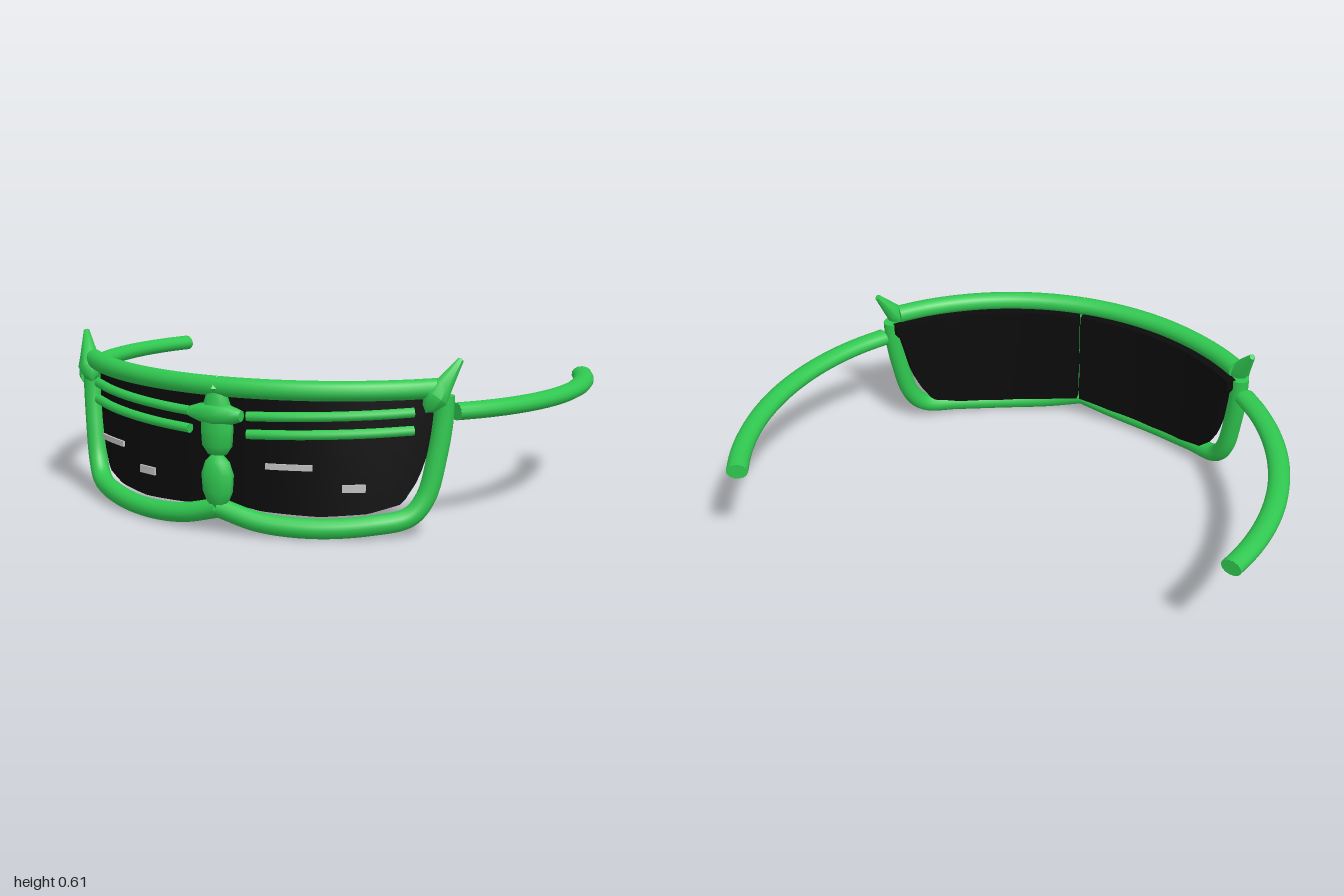
import * as THREE from 'three';
import { mergeGeometries, toCreasedNormals } from 'three/addons/utils/BufferGeometryUtils.js';

const R = 0.96, CZ = -0.32; // the whole frame wraps around one circle

// point on the wrap circle (front half) at the given x, height and radius
const wrap = (x, y, r = R) => new THREE.Vector3(x, y, CZ + Math.sqrt(r * r - x * x));

// tube along a curve, closed with flat ends
function cappedTube(points, radius, segments = 40, sides = 14) {
  const curve = new THREE.CatmullRomCurve3(points);
  const parts = [new THREE.TubeGeometry(curve, segments, radius, sides)];
  for (const t of [0, 1]) {
    const dir = curve.getTangentAt(t).multiplyScalar(t ? 1 : -1);
    const cap = new THREE.CircleGeometry(radius, sides);
    cap.applyQuaternion(new THREE.Quaternion().setFromUnitVectors(new THREE.Vector3(0, 0, 1), dir));
    const p = curve.getPointAt(t);
    parts.push(cap.translate(p.x, p.y, p.z));
  }
  return mergeGeometries(parts);
}

// box bent around the wrap circle; bottom(x) and top give its outline
function bentPlate(side, x0, x1, bottom, top, r0, r1, columns, rows) {
  const geo = new THREE.BoxGeometry(1, 1, 1, columns, rows, 1);
  const p = geo.attributes.position;
  for (let i = 0; i < p.count; i++) {
    const a0 = Math.asin(x0 / R), a1 = Math.asin(x1 / R);
    const a = a0 + (a1 - a0) * (0.5 + side * p.getX(i));
    const b = bottom(R * Math.sin(a));
    const y = b + (top - b) * (p.getY(i) + 0.5);
    const r = r0 + (r1 - r0) * (p.getZ(i) + 0.5);
    p.setXYZ(i, side * r * Math.sin(a), y, CZ + r * Math.cos(a));
  }
  geo.computeVertexNormals();
  return geo;
}

// lathe from [radius, height] pairs
const turned = (profile, sides) => toCreasedNormals(
  new THREE.LatheGeometry(profile.map(([r, y]) => new THREE.Vector2(r, y)), sides), 0.9);

// lower edge of a lens, as [x, y]
const lensEdge = [[0, 0.11], [0.15, 0.085], [0.35, 0.075], [0.5, 0.085], [0.6, 0.115],
  [0.645, 0.2], [0.672, 0.3], [0.69, 0.42], [0.72, 0.47]];
function lensBottom(x) {
  let i = 1;
  while (i < lensEdge.length - 1 && lensEdge[i][0] < x) i++;
  const [xa, ya] = lensEdge[i - 1], [xb, yb] = lensEdge[i];
  return ya + (yb - ya) * (x - xa) / (xb - xa);
}

export function createModel() {
  const group = new THREE.Group();
  const green = new THREE.MeshStandardMaterial({ color: 0x30c850 });
  const black = new THREE.MeshStandardMaterial({ color: 0x0b0b0b });
  const silver = new THREE.MeshStandardMaterial({ color: 0xc0c0c0 });
  green.name = 'green';
  black.name = 'black';
  silver.name = 'silver';

  const add = (name, geo, mat) => {
    const mesh = new THREE.Mesh(geo, mat);
    mesh.name = name;
    group.add(mesh);
    return mesh;
  };

  // brow bar across both lenses
  const brow = [];
  for (let i = -8; i <= 8; i++) brow.push(wrap(i * 0.0855, 0.515));
  add('browBar', cappedTube(brow, 0.035, 64), green);

  const rim = [[0.703, 0.49], [0.7, 0.4], [0.686, 0.28], [0.658, 0.14], [0.615, 0.075],
    [0.5, 0.05], [0.33, 0.04], [0.15, 0.053], [0, 0.09]];

  for (const s of [1, -1]) {
    const side = s > 0 ? 'left' : 'right';

    add(side + 'Rim', cappedTube(rim.map(([x, y]) => wrap(s * x, y)), 0.035, 72), green);
    add(side + 'Lens', bentPlate(s, 0.006, 0.708, lensBottom, 0.492, 0.9, 0.937, 40, 6), black);

    // two slats over each lens
    for (const y of [0.42, 0.358]) {
      const pts = [0, 1, 2, 3, 4, 5].map(i => wrap(s * (0.11 + i * 0.103), y + i * 0.0035, 0.965));
      add(side + 'Slat', cappedTube(pts, 0.017, 24, 10), green);
    }

    // pointed horn at the outer corner
    const foot = new THREE.Vector3(s * 0.685, 0.485, 0.375);
    const tip = new THREE.Vector3(s * 0.747, 0.61, 0.302);
    const axis = tip.clone().sub(foot).normalize();
    const horn = add(side + 'Horn', turned(
      [[0, -0.06], [0.026, -0.04], [0.046, 0], [0.034, 0.05], [0.011, 0.157], [0, 0.16]], 8), green);
    horn.position.copy(foot);
    horn.quaternion.setFromUnitVectors(new THREE.Vector3(0, 1, 0), axis);

    // curved temple arm, flattened in height
    const flat = 0.78, arm = [];
    for (let i = 0; i <= 10; i++) {
      const a = THREE.MathUtils.lerp(0.705, -0.395, i / 10);
      arm.push(new THREE.Vector3(s * R * Math.cos(a), (0.43 - 0.002 * i) / flat, CZ + R * Math.sin(a)));
    }
    add(side + 'Temple', cappedTube(arm, 0.039, 48), green).scale.y = flat;
  }

  // bridge: two spindles, a cross piece and a small top joint
  const lower = add('lowerBridge', turned(
    [[0, 0.08], [0.035, 0.1], [0.056, 0.15], [0.06, 0.21], [0.045, 0.255], [0.02, 0.28], [0, 0.28]], 10), green);
  const upper = add('upperBridge', turned(
    [[0, 0.275], [0.035, 0.28], [0.056, 0.31], [0.06, 0.37], [0.055, 0.44], [0.035, 0.5], [0, 0.5]], 10), green);
  for (const part of [lower, upper]) {
    part.scale.z = 0.62;
    part.position.z = 0.647;
  }
  const cross = add('bridgeCrossPiece', turned(
    [[0, -0.1], [0.02, -0.098], [0.033, -0.06], [0.042, 0], [0.033, 0.06], [0.02, 0.098], [0, 0.1]], 8), green);
  cross.rotation.z = Math.PI / 2;
  cross.position.set(0, 0.422, 0.655);
  const joint = add('browJoint', new THREE.OctahedronGeometry(0.042), green);
  joint.position.set(0, 0.512, 0.645);

  // glints in front of the lenses: side, inner x, outer x, height, thickness
  for (const [s, x0, x1, y, h] of [[1, 0.177, 0.33, 0.255, 0.02], [1, 0.42, 0.488, 0.185, 0.027],
    [-1, 0.42, 0.556, 0.255, 0.02], [-1, 0.257, 0.33, 0.185, 0.027]]) {
    add('lensGlint', bentPlate(s, x0, x1, () => y - h / 2, y + h / 2, 0.975, 0.983, 6, 1), silver);
  }

  return group;
}
